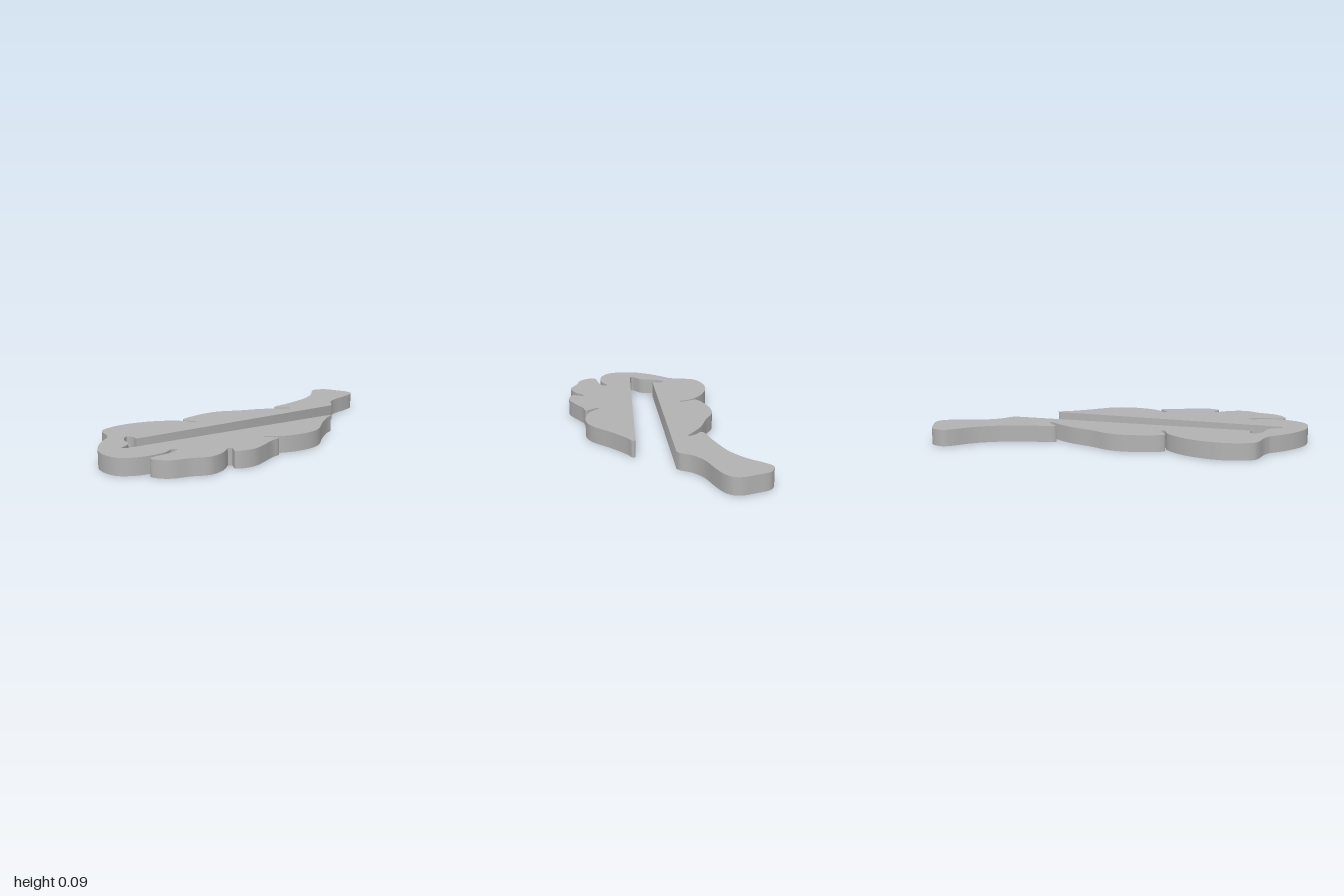
import * as THREE from 'three';
import { toCreasedNormals } from 'three/addons/utils/BufferGeometryUtils.js';

const THICKNESS = 0.088;

// Smooth runs of the outline as [x, z]; neighbouring runs meet in sharp corners.
const stem = [
  [0.03, -0.6], [0.02, -0.625], [-0.03, -0.67], [-0.07, -0.75], [-0.09, -0.87], [-0.11, -0.95],
  [-0.14, -0.99], [-0.18, -1], [-0.25, -0.985], [-0.32, -0.965], [-0.35, -0.93], [-0.36, -0.89],
  [-0.34, -0.85], [-0.27, -0.76], [-0.22, -0.65], [-0.2, -0.55], [-0.185, -0.43], [-0.18, -0.35],
  [-0.165, -0.33], [-0.13, -0.362], [-0.09, -0.38], [-0.085, -0.368],
];
const rightLobes = [
  [-0.085, -0.368], [-0.13, -0.32], [-0.19, -0.24], [-0.25, -0.12], [-0.31, -0.02], [-0.328, 0.08],
  [-0.32, 0.18], [-0.303, 0.25], [-0.285, 0.268], [-0.24, 0.25], [-0.205, 0.24], [-0.195, 0.25],
  [-0.21, 0.262], [-0.26, 0.275], [-0.33, 0.335], [-0.39, 0.43], [-0.425, 0.55], [-0.425, 0.64],
  [-0.4, 0.72], [-0.37, 0.742], [-0.29, 0.77], [-0.25, 0.795],
];
const tip = [
  [-0.25, 0.795], [-0.2, 0.865], [-0.13, 0.935], [-0.05, 0.985], [0.03, 1], [0.1, 0.985],
  [0.15, 0.93], [0.175, 0.85], [0.175, 0.76], [0.155, 0.71], [0.17, 0.687], [0.188, 0.71],
  [0.202, 0.77], [0.202, 0.85], [0.215, 0.885], [0.265, 0.872], [0.31, 0.83], [0.34, 0.75],
  [0.385, 0.67], [0.385, 0.62], [0.365, 0.56], [0.325, 0.5],
];
const leftLobes = [
  [0.325, 0.5], [0.34, 0.487], [0.39, 0.512], [0.413, 0.48], [0.425, 0.41], [0.4, 0.32],
  [0.37, 0.235], [0.36, 0.18], [0.32, 0.2], [0.285, 0.22], [0.285, 0.205], [0.34, 0.15],
  [0.375, 0.07], [0.388, -0.03], [0.37, -0.11], [0.285, -0.24], [0.225, -0.35], [0.207, -0.397],
  [0.195, -0.397], [0.185, -0.36],
];
const slotEnd = [
  [0, 0.77], [-0.018, 0.855], [-0.03, 0.868], [-0.045, 0.845], [-0.07, 0.8], [-0.1, 0.78],
  [-0.15, 0.765], [-0.185, 0.735], [-0.2, 0.71], [-0.17, 0.695], [-0.13, 0.703],
];

function smoothRun(points) {
  const curve = new THREE.CatmullRomCurve3(
    points.map(([x, z]) => new THREE.Vector3(x, -z, 0)), false, 'centripetal');
  return curve.getPoints((points.length - 1) * 5).map(p => new THREE.Vector2(p.x, p.y));
}

export function createModel() {
  const gray = new THREE.MeshStandardMaterial({ color: 0xb2b2b2 });
  gray.name = 'gray';

  // The straight slot sides are the joins between the last runs and the first.
  const outline = [];
  for (const run of [stem, rightLobes, tip, leftLobes, slotEnd]) {
    for (const p of smoothRun(run)) {
      const last = outline[outline.length - 1];
      if (!last || last.distanceTo(p) > 1e-4) outline.push(p);
    }
  }

  const geometry = new THREE.ExtrudeGeometry(new THREE.Shape(outline), {
    depth: THICKNESS, bevelEnabled: false,
  });
  geometry.rotateX(-Math.PI / 2); // lay the plate flat

  const leaf = new THREE.Mesh(toCreasedNormals(geometry, 0.6), gray);
  leaf.name = 'leafPlate';
  const group = new THREE.Group();
  group.name = 'slottedLeaf';
  group.add(leaf);
  return group;
}
